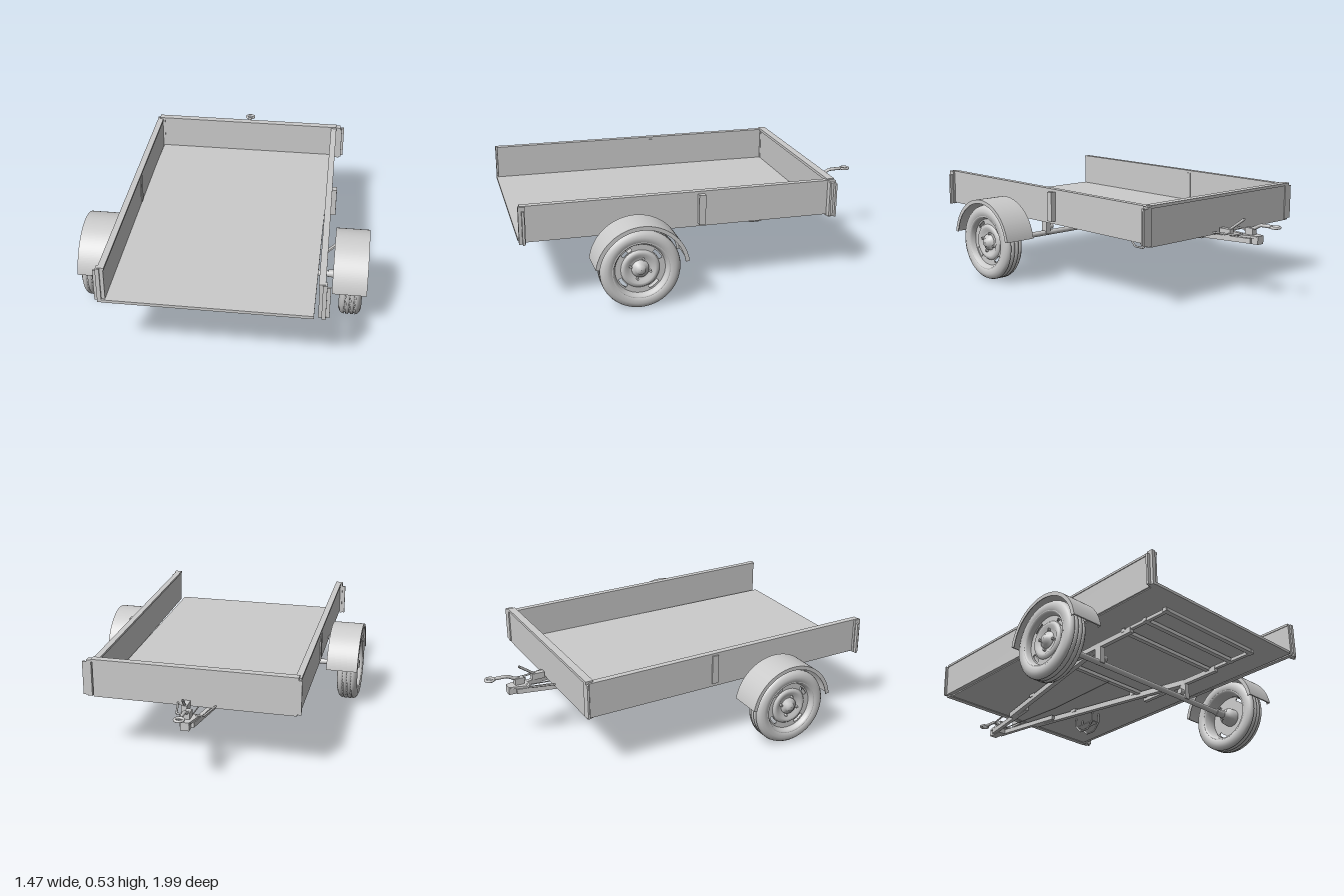
import * as THREE from 'three';

const grey = new THREE.MeshStandardMaterial({ color: 0xcccccc, side: THREE.DoubleSide });
const V = (x, y, z) => new THREE.Vector3(x, y, z);

function add(parent, name, geometry, x = 0, y = 0, z = 0) {
  const mesh = new THREE.Mesh(geometry, grey);
  mesh.name = name;
  mesh.position.set(x, y, z);
  parent.add(mesh);
  return mesh;
}

// Box given by its minimum and maximum on each axis
function box(parent, name, x0, x1, y0, y1, z0, z1) {
  return add(parent, name, new THREE.BoxGeometry(x1 - x0, y1 - y0, z1 - z0),
    (x0 + x1) / 2, (y0 + y1) / 2, (z0 + z1) / 2);
}

// Rectangular bar between two points
function beam(parent, name, a, b, w, h) {
  const mesh = add(parent, name, new THREE.BoxGeometry(w, h, a.distanceTo(b)));
  mesh.position.copy(a).add(b).multiplyScalar(0.5);
  mesh.lookAt(b);
  return mesh;
}

function rod(parent, name, points, r, tension = 0) {
  const path = new THREE.CatmullRomCurve3(points, false, 'catmullrom', tension);
  return add(parent, name, new THREE.TubeGeometry(path, points.length * 8, r, 10));
}

// Cylinder lying along x
function crossTube(parent, name, x0, x1, r, y, z) {
  const mesh = add(parent, name, new THREE.CylinderGeometry(r, r, x1 - x0, 24), (x0 + x1) / 2, y, z);
  mesh.rotation.z = Math.PI / 2;
  return mesh;
}

// Flat arc-shaped band, extruded along x
function arcBand(parent, name, rOut, rIn, a0, a1, width, x, y, z) {
  const s = new THREE.Shape();
  s.absarc(0, 0, rOut, a0, a1, false);
  s.absarc(0, 0, rIn, a1, a0, true);
  const g = new THREE.ExtrudeGeometry(s, { depth: width, bevelEnabled: false, curveSegments: 40 });
  g.rotateY(Math.PI / 2);
  return add(parent, name, g, x, y, z);
}

function makeBed() {
  const bed = new THREE.Group();
  bed.name = 'loadBed';
  box(bed, 'floor', -0.525, 0.49, 0.33, 0.345, -0.64, 0.99);
  box(bed, 'headboard', -0.54, 0.51, 0.325, 0.525, -0.65, -0.622);
  box(bed, 'headboardRail', -0.545, 0.515, 0.515, 0.53, -0.655, -0.615);

  // Side walls, slightly out of square with the floor
  for (const [name, x] of [['rightWall', -0.53], ['leftWall', 0.511]]) {
    const wall = new THREE.Group();
    wall.name = name;
    wall.position.set(x, 0, 0.17);
    wall.rotation.y = 0.013;
    box(wall, 'sideBoard', -0.012, 0.012, 0.335, 0.517, -0.81, 0.81);
    box(wall, 'topRail', -0.016, 0.016, 0.51, 0.522, -0.81, 0.81);
    bed.add(wall);
  }

  // Uprights on the outside of the walls
  for (const s of [-1, 1]) {
    const side = (name, a, b, ...rest) =>
      box(bed, name, Math.min(s * a, s * b), Math.max(s * a, s * b), ...rest);
    side('middlePost', 0.515, 0.55, 0.352, 0.507, 0.05, 0.085);
    side('openEndPost', 0.525, 0.545, 0.33, 0.52, 0.955, 0.988);
    side('openEndFlange', 0.54, 0.562, 0.33, 0.5, 0.96, 0.972);
    side('cornerPost', 0.515, 0.54, 0.33, 0.525, -0.655, -0.62);
    side('cornerFlange', 0.535, 0.562, 0.335, 0.515, -0.655, -0.645);
    side('cornerRib', 0.535, 0.55, 0.335, 0.515, -0.63, -0.62);
  }
  bed.rotation.x = -0.011;
  return bed;
}

function makeWheel() {
  const wheel = new THREE.Group();
  wheel.name = 'wheel';
  const lathe = (name, pts) =>
    add(wheel, name, new THREE.LatheGeometry(pts.map(p => new THREE.Vector2(p[0], p[1])), 56));

  // Tyre with three tread grooves
  const tread = [];
  for (const y of [-0.024, 0, 0.024])
    tread.push([0.203, y - 0.005], [0.196, y - 0.003], [0.196, y + 0.003], [0.203, y + 0.005]);
  lathe('tyre', [[0.138, -0.045], [0.15, -0.055], [0.172, -0.058], [0.19, -0.05], [0.199, -0.04],
    ...tread, [0.199, 0.04], [0.19, 0.05], [0.172, 0.058], [0.15, 0.055], [0.138, 0.045]]);
  lathe('rim', [[0.146, -0.052], [0.14, -0.054], [0.135, -0.045], [0.128, -0.03], [0.122, 0],
    [0.128, 0.03], [0.135, 0.045], [0.14, 0.054], [0.146, 0.052]]);

  // Wheel disc with four slots near the edge
  const disc = new THREE.Shape().absarc(0, 0, 0.128, 0, Math.PI * 2);
  for (let i = 0; i < 4; i++) {
    const a = i * Math.PI / 2 + 0.4;
    const slot = new THREE.Path();
    slot.absarc(0, 0, 0.119, a, a + 0.5, false);
    slot.absarc(0, 0, 0.103, a + 0.5, a, true);
    disc.holes.push(slot);
  }
  const discGeo = new THREE.ExtrudeGeometry(disc, { depth: 0.006, bevelEnabled: false, curveSegments: 40 });
  add(wheel, 'wheelDisc', discGeo.rotateX(-Math.PI / 2), 0, 0.018, 0);
  lathe('discDish', [[0.098, 0.024], [0.09, 0.034], [0.075, 0.036], [0.06, 0.026], [0.045, 0.024]]);
  lathe('hub', [[0.045, 0.02], [0.043, 0.032], [0.026, 0.036], [0.022, 0.05], [0, 0.053]]);
  for (let i = 0; i < 4; i++) {
    const a = i * Math.PI / 2 + 0.3;
    add(wheel, 'wheelNut', new THREE.CylinderGeometry(0.007, 0.007, 0.014, 6),
      0.052 * Math.cos(a), 0.032, 0.052 * Math.sin(a));
  }
  lathe('innerHub', [[0.05, 0.018], [0.048, -0.02], [0.026, -0.028], [0.024, -0.06], [0, -0.06]]);
  return wheel;
}

function makeRunningGear() {
  const gear = new THREE.Group();
  gear.name = 'runningGear';
  crossTube(gear, 'axle', -0.56, 0.575, 0.015, 0.205, 0.42);
  for (const s of [-1, 1]) {
    const x = -0.01 + s * 0.667;
    const wheel = makeWheel();
    wheel.position.set(x, 0.208, 0.42);
    wheel.rotation.z = -s * Math.PI / 2;
    gear.add(wheel);
    crossTube(gear, 'axleStub', Math.min(x, x - s * 0.12), Math.max(x, x - s * 0.12), 0.02, 0.207, 0.42);

    // Mudguard: curved band with narrow turned-down edges and a stay
    const x0 = s > 0 ? 0.563 : -0.738;
    arcBand(gear, 'mudguard', 0.236, 0.229, 0.15, Math.PI - 0.15, 0.174, x0, 0.21, 0.417);
    for (const edge of [x0, x0 + 0.17])
      arcBand(gear, 'mudguardEdge', 0.234, 0.216, 0.15, Math.PI - 0.15, 0.004, edge, 0.21, 0.417);
    beam(gear, 'mudguardStay', V(s * 0.52, 0.34, 0.42), V(s * 0.58, 0.4, 0.42), 0.025, 0.008);
  }
  return gear;
}

function makeChassis() {
  const chassis = new THREE.Group();
  chassis.name = 'chassis';
  const mid = -0.035;
  for (const z of [0.14, 0.6, 0.75, 0.885])
    box(chassis, 'crossBar', -0.367, 0.297, 0.305, 0.325, z - 0.012, z + 0.012);
  for (const s of [-1, 1]) {
    const x = mid + s * 0.318;
    box(chassis, 'sideRail', x - 0.012, x + 0.012, 0.288, 0.315, 0.12, 0.65);
    box(chassis, 'tailRail', x - 0.01, x + 0.01, 0.305, 0.322, 0.62, 0.9);
    box(chassis, 'axleBracket', x - 0.015, x + 0.015, 0.2, 0.29, 0.4, 0.44);
    const pivot = mid + s * 0.292;
    crossTube(chassis, 'bracketPivot', pivot - 0.015, pivot + 0.015, 0.016, 0.24, 0.42);
    // Drawbar arms converging on the coupling
    beam(chassis, 'drawbarArm', V(x, 0.302, 0.42), V(mid + s * 0.095, 0.305, -0.58), 0.026, 0.03);
    beam(chassis, 'drawbarTip', V(mid + s * 0.1, 0.303, -0.43), V(mid + s * 0.025, 0.303, -0.84), 0.022, 0.026);
    for (const z of [0.1, -0.3])
      box(chassis, 'floorMount', x - s * (0.42 - z) * 0.223 - 0.016, x - s * (0.42 - z) * 0.223 + 0.016,
        0.31, 0.338, z - 0.02, z + 0.02);
  }

  // Hanging bracket under the floor
  for (const x of [0.215, 0.265])
    rod(chassis, 'hangingHoop', [V(x, 0.33, -0.25), V(x, 0.275, -0.25), V(x, 0.232, -0.29),
      V(x, 0.232, -0.35), V(x, 0.275, -0.39), V(x, 0.33, -0.39)], 0.005, 0.05);
  box(chassis, 'hoopPlate', 0.215, 0.265, 0.27, 0.276, -0.39, -0.25);
  rod(chassis, 'brakeCable', [V(mid, 0.3, 0.15), V(mid, 0.29, -0.3), V(mid, 0.31, -0.75)], 0.003);
  return chassis;
}

function makeCoupling() {
  const coupling = new THREE.Group();
  coupling.name = 'coupling';
  const x = -0.035;
  // Tapered head plate
  const plate = new THREE.Shape([[-0.05, 0.77], [0.05, 0.77], [0.025, 0.87], [-0.025, 0.87]]
    .map(p => new THREE.Vector2(...p)));
  const g = new THREE.ExtrudeGeometry(plate, { depth: 0.012, bevelEnabled: false });
  add(coupling, 'headPlate', g.rotateX(-Math.PI / 2), x, 0.318, 0);
  box(coupling, 'headBlock', x - 0.022, x + 0.022, 0.287, 0.33, -0.88, -0.79);
  box(coupling, 'headCap', x - 0.015, x + 0.015, 0.33, 0.365, -0.84, -0.79);
  rod(coupling, 'towShaft', [V(x, 0.35, -0.78), V(x, 0.365, -0.84), V(x, 0.384, -0.88), V(x, 0.386, -0.95)], 0.009, 0.3);
  const ring = add(coupling, 'towRing', new THREE.TorusGeometry(0.022, 0.007, 12, 32), x, 0.386, -0.972);
  ring.rotation.x = Math.PI / 2;
  rod(coupling, 'brakeLever', [V(x + 0.045, 0.325, -0.68), V(x + 0.045, 0.35, -0.72), V(x + 0.03, 0.41, -0.8)], 0.007);
  box(coupling, 'leverBase', x + 0.03, x + 0.06, 0.315, 0.35, -0.73, -0.66);
  // Safety stays along the drawbar
  for (const s of [-1, 1])
    rod(coupling, 'stay', [V(x + s * 0.1, 0.33, -0.64), V(x + s * 0.068, 0.33, -0.785), V(x + s * 0.03, 0.33, -0.785)], 0.005);
  return coupling;
}

export function createModel() {
  const trailer = new THREE.Group();
  trailer.name = 'trailer';
  trailer.add(makeBed(), makeRunningGear(), makeChassis(), makeCoupling());
  return trailer;
}
